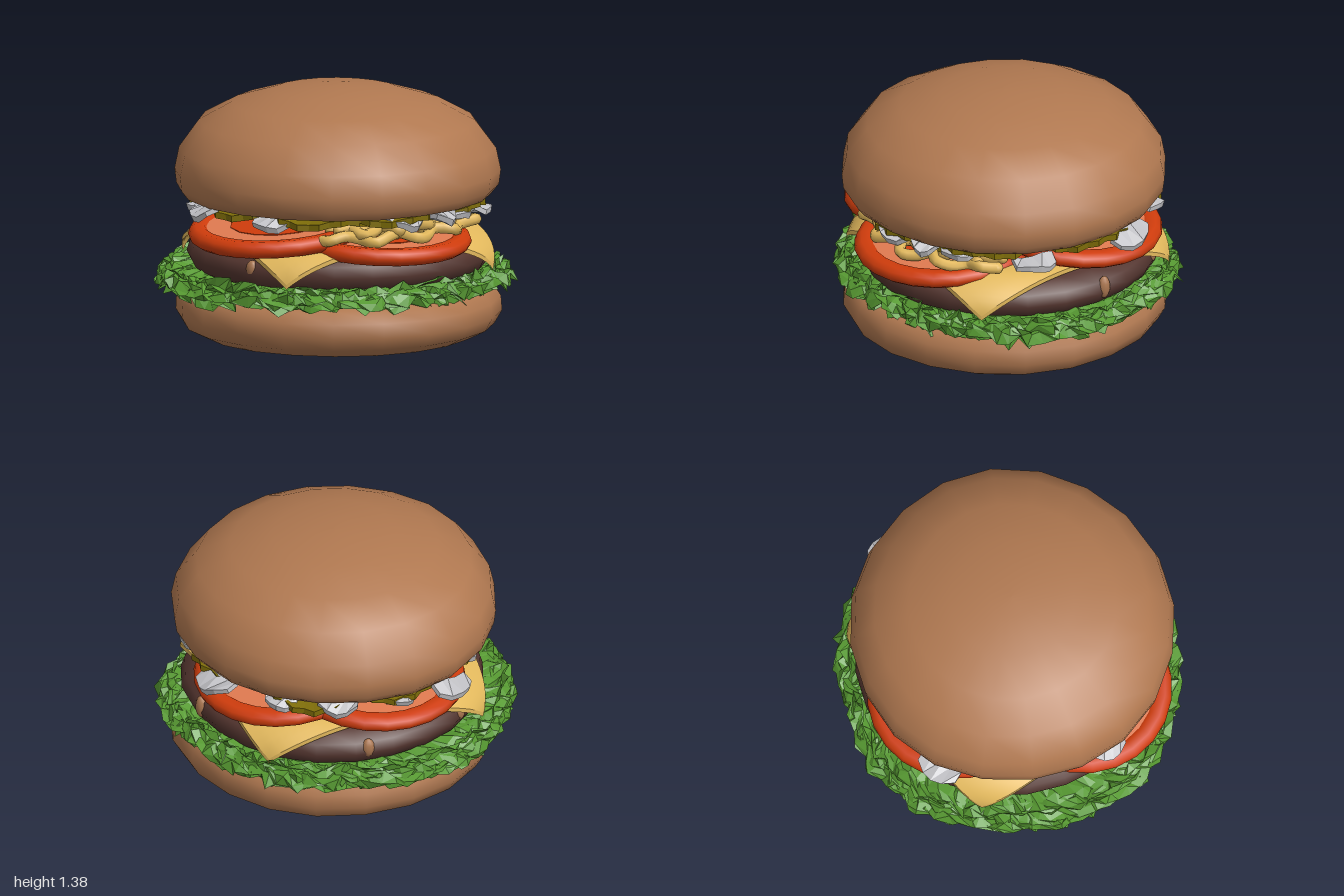
import * as THREE from 'three';

const mat = (name, color, extra = {}) => Object.assign(new THREE.MeshStandardMaterial({ color, ...extra }), { name });

function seeded(seed) {
  return () => {
    seed = (seed * 16807) % 2147483647;
    return seed / 2147483647;
  };
}

const polar = (r, deg, y) => {
  const a = THREE.MathUtils.degToRad(deg); // 0 = +x, 90 = +z
  return new THREE.Vector3(r * Math.cos(a), y, r * Math.sin(a));
};

function lathe(points, sides) {
  return new THREE.LatheGeometry(points.map(([r, y]) => new THREE.Vector2(r, y)), sides);
}

// Apply a rule to every vertex of a geometry
function warp(geometry, rule) {
  const p = geometry.attributes.position;
  const v = new THREE.Vector3();
  for (let i = 0; i < p.count; i++) {
    rule(v.fromBufferAttribute(p, i));
    p.setXYZ(i, v.x, v.y, v.z);
  }
  return geometry;
}

// Slightly uneven round shape
const uneven = (g, amount, phase) => warp(g, (v) => {
  const a = Math.atan2(v.z, v.x);
  const k = 1 + amount * (Math.sin(3 * a + phase) + Math.sin(5 * a + 2 * phase + v.y * 4));
  v.x *= k;
  v.z *= k;
});

// Crumpled ring of leaf: rows run from the hidden middle out to a ragged, curled edge
function leafRing(seed, baseY, curl, reach) {
  const rand = seeded(seed);
  const outline = [0.95, 0.91, 0.88, 0.88, 0.92, 0.94, 0.97, 1.01, 1.01, 0.99,
    0.99, 1.0, 0.97, 0.92, 0.94, 0.93, 0.92, 0.95];
  const seg = 108, rows = 7, pos = [], index = [];
  for (let j = 0; j < rows; j++) {
    const t = j / (rows - 1);
    for (let i = 0; i < seg; i++) {
      const f = (i / seg) * outline.length, k = Math.floor(f);
      const edge = THREE.MathUtils.lerp(outline[k], outline[(k + 1) % outline.length], f - k);
      const pleat = 0.015 * Math.sin(i * 2.2 + seed);
      const r = THREE.MathUtils.lerp(0.6, edge * reach, Math.sin((t * Math.PI) / 2)) + ((rand() - 0.5) * 0.05 + pleat) * t;
      const a = ((i + (rand() - 0.5) * 0.9) / seg) * Math.PI * 2;
      const y = baseY - curl * t ** 3 + (rand() - 0.5) * 0.07 * (0.3 + 0.7 * t);
      pos.push(r * Math.cos(a), y, r * Math.sin(a));
      if (j < rows - 1) {
        const n = (i + 1) % seg, b = j * seg, c = b + seg;
        index.push(b + i, b + n, c + i, b + n, c + n, c + i);
      }
    }
  }
  const g = new THREE.BufferGeometry();
  g.setAttribute('position', new THREE.Float32BufferAttribute(pos, 3));
  g.setIndex(index);
  g.computeVertexNormals();
  return g;
}

export function createModel() {
  const model = new THREE.Group();
  model.name = 'burger';
  const bun = mat('bun brown', 0xb07850);
  const meat = mat('meat brown', 0x54352f);
  const fat = mat('meat fleck tan', 0xaa7650);
  const leaf = mat('lettuce green', 0x579a32, { flatShading: true, side: THREE.DoubleSide });
  const cheeseMat = mat('cheese yellow', 0xe2b85c);
  const skin = mat('tomato red', 0xcf3c0c);
  const flesh = mat('tomato flesh', 0xe07a50);
  const pickleMat = mat('pickle olive', 0x7d6c08, { flatShading: true });
  const onionMat = mat('onion white', 0xc4c4c8, { flatShading: true });

  const add = (name, geometry, material, parent = model) => {
    const m = new THREE.Mesh(geometry, material);
    m.name = name;
    parent.add(m);
    return m;
  };
  const group = (name) => {
    const g = new THREE.Group();
    g.name = name;
    model.add(g);
    return g;
  };

  // Buns, sitting slightly forward
  add('bottomBun', uneven(lathe([[0, 0], [0.5, 0.005], [0.75, 0.02], [0.85, 0.07], [0.89, 0.14],
    [0.885, 0.22], [0.84, 0.29], [0.7, 0.31], [0, 0.31]], 20), 0.004, 1), bun).position.z = 0.02;
  add('topBun', uneven(lathe([[0, 0.8], [0.72, 0.79], [0.84, 0.79], [0.88, 0.84], [0.89, 0.92], [0.865, 1.04],
    [0.755, 1.19], [0.57, 1.29], [0.34, 1.36], [0.12, 1.383], [0, 1.385]], 20), 0.005, 2), bun).position.set(-0.01, 0, 0.02);

  // Lettuce, overlapping frilly layers; the last one flares upward
  const lettuce = group('lettuce');
  [[11, 0.36, 0.07, 0.97], [37, 0.38, 0.06, 1.0], [71, 0.4, 0.06, 0.97], [93, 0.38, -0.03, 0.94]].forEach(([seed, y, curl, reach]) =>
    add('lettuceLayer', leafRing(seed * 977, y, curl, reach), leaf, lettuce));

  // Patty with pale flecks on its side
  add('patty', uneven(lathe([[0, 0.36], [0.72, 0.36], [0.8, 0.4], [0.83, 0.46], [0.81, 0.52],
    [0.73, 0.575], [0.58, 0.595], [0, 0.6]], 24), 0.006, 0.5), meat);
  const flecks = group('pattyFlecks');
  [[-33, 0.065], [124, 0.05], [205, 0.05], [250, 0.055], [292, 0.045]].forEach(([deg, h]) => {
    const f = add('pattyFleck', new THREE.SphereGeometry(1, 10, 8), fat, flecks);
    f.scale.set(0.036, h, 0.03);
    f.position.copy(polar(0.805, deg, 0.485));
    f.rotation.y = Math.PI / 2 - THREE.MathUtils.degToRad(deg);
  });

  // Square cheese slice whose corners droop over the patty
  const cheese = warp(new THREE.BoxGeometry(1.44, 0.025, 1.44, 28, 1, 28), (v) => {
    const d = Math.hypot(v.x, v.z);
    if (d > 0.7) {
      const t = (d - 0.7) / 0.32;
      const k = (0.7 + 0.19 * Math.sin((t * Math.PI) / 2)) / d;
      v.x *= k;
      v.z *= k;
      v.y -= 0.19 * t ** 1.3;
    }
    v.y += 0.61;
  });
  cheese.rotateY(0.49);
  cheese.computeVertexNormals();
  add('cheeseSlice', cheese, cheeseMat);

  // Tomato slices: rounded red skin, flesh ring and red heart, tilted down outward
  const tomatoes = group('tomatoes');
  [[0.24, 0.375, 0.61, 0.07], [-0.31, 0.36, 0.655, 0.1],
    [0.23, -0.32, 0.69, 0.13], [-0.26, -0.31, 0.68, 0.1]].forEach(([x, z, y, tilt]) => {
    const t = new THREE.Group();
    t.name = 'tomatoSlice';
    add('tomatoSkin', lathe([[0.4, -0.044], [0.465, -0.044], [0.49, -0.025], [0.5, 0],
      [0.49, 0.028], [0.46, 0.048], [0.41, 0.044], [0.39, 0.025]], 24), skin, t);
    add('tomatoFlesh', new THREE.CylinderGeometry(0.415, 0.415, 0.065, 24), flesh, t);
    add('tomatoHeart', new THREE.CylinderGeometry(0.27, 0.27, 0.072, 14), skin, t);
    const out = new THREE.Vector3(x, 0, z).normalize();
    t.quaternion.setFromAxisAngle(new THREE.Vector3(out.z, 0, -out.x), tilt);
    t.position.set(x, y, z);
    tomatoes.add(t);
  });

  // Lumpy strands of melted topping on the front slice
  const strands = group('meltedStrands');
  [[12, 98, 0.76, 0.67], [10, 92, 0.67, 0.69], [20, 88, 0.72, 0.705]].forEach(([from, to, r, y], s) => {
    const pts = [];
    for (let i = 0; i <= 14; i++) {
      pts.push(polar(r + 0.04 * Math.sin(i * 2.1 + s), from + ((to - from) * i) / 14, y + 0.018 * Math.sin(i * 1.7 + s * 2)));
    }
    const strand = new THREE.TubeGeometry(new THREE.CatmullRomCurve3(pts), 50, 0.032, 7);
    add('meltedStrand', strand, cheeseMat, strands);
    // closed tips
    [pts[0], pts[14]].forEach((p) => add('strandTip', new THREE.SphereGeometry(0.034, 8, 6), cheeseMat, strands).position.copy(p));
  });

  // Crinkled pickle slices
  const pickles = group('pickles');
  [20, 62, 100, 140, 185, 232, 275, 325].forEach((deg, n) => {
    const g = warp(new THREE.CylinderGeometry(0.3, 0.3, 0.035, 32, 1), (v) => {
      const a = Math.atan2(v.z, v.x), r = Math.hypot(v.x, v.z);
      const k = 1 + 0.04 * Math.cos(a * 16);
      v.x *= k;
      v.z *= k;
      v.y += (r / 0.3) * 0.015 * Math.sin(a * 4 + n);
    });
    const p = add('pickleSlice', g, pickleMat, pickles);
    p.position.copy(polar(0.53, deg, 0.755 + (n % 2) * 0.012));
    p.rotation.set(0.05 * Math.sin(n * 2), n, 0.05 * Math.cos(n * 3));
  });

  // Chopped onion: bent, tapered chips round the rim [angle, radius, height, length]
  const onions = group('onions');
  const rand = seeded(4242);
  [[-4, 0.77, 0.69, 0.24], [28, 0.76, 0.75, 0.2], [42, 0.8, 0.76, 0.16], [60, 0.78, 0.75, 0.22],
    [116, 0.79, 0.745, 0.22], [148, 0.86, 0.76, 0.2], [165, 0.78, 0.75, 0.18],
    [192, 0.76, 0.75, 0.18], [214, 0.87, 0.73, 0.24], [235, 0.78, 0.755, 0.2], [262, 0.78, 0.75, 0.22],
    [285, 0.79, 0.755, 0.18], [314, 0.85, 0.74, 0.26]].forEach(([deg, r, y, len]) => {
    const g = warp(new THREE.BoxGeometry(len, 0.04, 0.13, 4, 1, 1), (v) => {
      const u = v.x / (len / 2);
      v.z = v.z * (1 - 0.45 * u * u) - 0.03 * u * u;
      v.y = v.y * (1 - 0.3 * Math.abs(u)) + 0.015 * Math.sin(u * 3 + deg) * Math.sign(v.z + 0.03);
    });
    const o = add('onionChip', g, onionMat, onions);
    o.position.copy(polar(r, deg, y));
    o.rotation.order = 'YXZ';
    o.rotation.set(0.2 + rand() * 0.25, Math.PI / 2 - THREE.MathUtils.degToRad(deg) + (rand() - 0.5) * 0.5, (rand() - 0.5) * 0.3);
  });

  return model;
}
